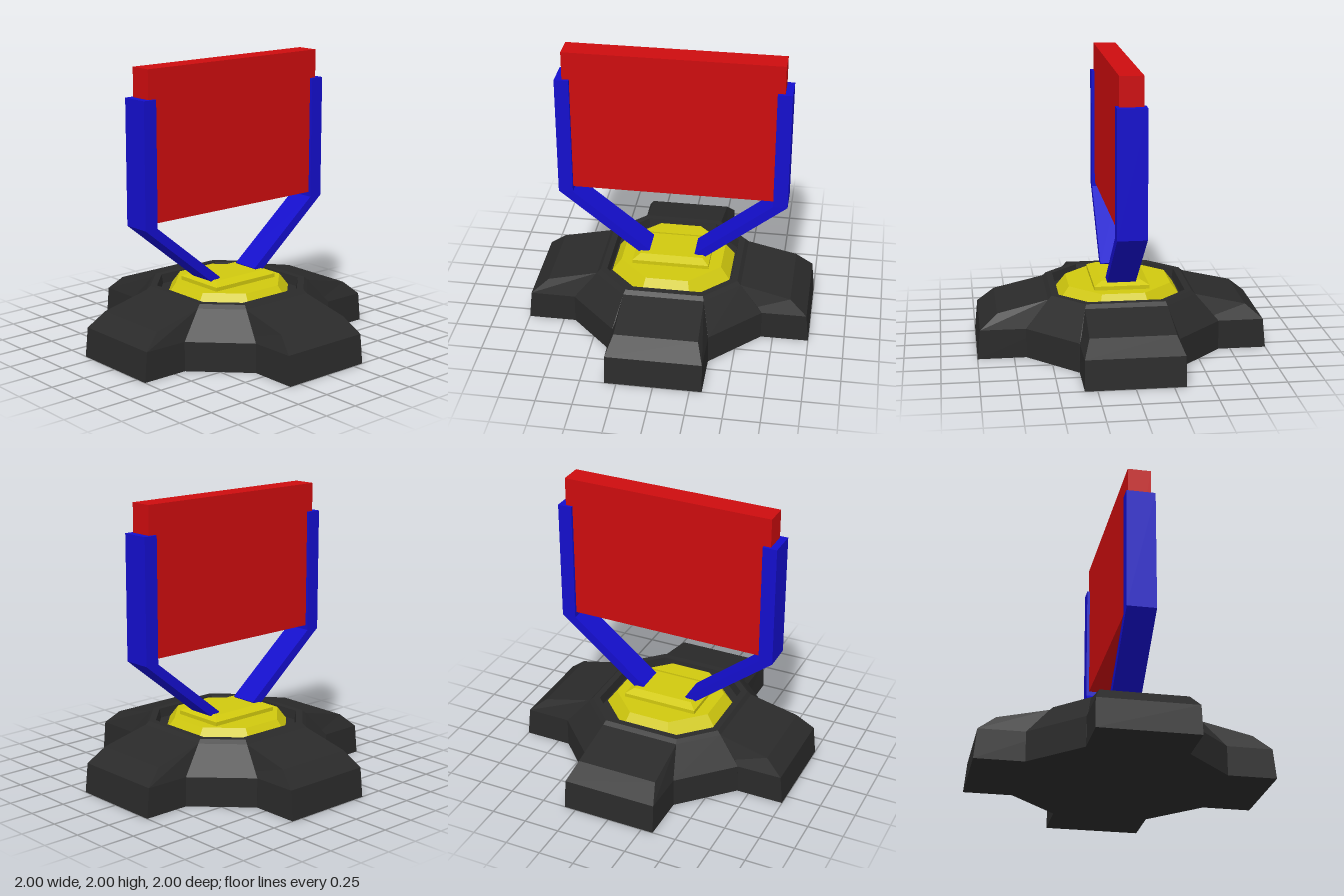
import * as THREE from 'three';

const paint = (color) => new THREE.MeshStandardMaterial({ color, flatShading: true });

// Closed solid through rings of [x, y, z] points, listed bottom to top, anticlockwise from above
function loft(rings) {
  const n = rings[0].length;
  const pos = [];
  const tri = (a, b, c) => pos.push(...a, ...b, ...c);
  for (let r = 0; r < rings.length - 1; r++) {
    for (let i = 0; i < n; i++) {
      const j = (i + 1) % n;
      tri(rings[r][i], rings[r][j], rings[r + 1][j]);
      tri(rings[r][i], rings[r + 1][j], rings[r + 1][i]);
    }
  }
  const top = rings[rings.length - 1];
  for (let i = 1; i < n - 1; i++) {
    tri(rings[0][0], rings[0][i + 1], rings[0][i]);
    tri(top[0], top[i], top[i + 1]);
  }
  const geo = new THREE.BufferGeometry();
  geo.setAttribute('position', new THREE.Float32BufferAttribute(pos, 3));
  geo.computeVertexNormals();
  return geo;
}

// Octagon reaching a along each axis, with axis-facing sides of half-length b
const octagon = (y, a, b) =>
  [[a, -b], [b, -a], [-b, -a], [-a, -b], [-a, b], [-b, a], [b, a], [a, b]].map(([x, z]) => [x, y, z]);

// Rectangle with its own height and half-width at the back (z0) and front (z1)
const quad = (z0, y0, w0, z1, y1, w1) =>
  [[w0, y0, z0], [-w0, y0, z0], [-w1, y1, z1], [w1, y1, z1]];

export function createModel() {
  const model = new THREE.Group();
  const black = paint(0x2a2a2a);
  const yellow = paint(0xd0c80e);
  const blue = paint(0x140ecc);
  const red = paint(0xcc0c0e);

  const add = (name, geo, mat, parent = model) => {
    const mesh = new THREE.Mesh(geo, mat);
    mesh.name = name;
    parent.add(mesh);
    return mesh;
  };

  // Octagonal base with a raised rim and a sunken floor
  const base = new THREE.Group();
  base.name = 'base';
  model.add(base);
  add('baseBody', loft([
    octagon(0, 0.667, 0.333), octagon(0.205, 0.667, 0.333), octagon(0.39, 0.51, 0.28),
    octagon(0.415, 0.485, 0.27), octagon(0.415, 0.44, 0.25), octagon(0.35, 0.43, 0.245),
  ]), black, base);

  // Four feet with sloping tops
  const footGeo = loft([
    quad(0.51, 0, 0.333, 1, 0, 0.333),
    quad(0.51, 0.205, 0.333, 0.98, 0.205, 0.33),
    quad(0.51, 0.39, 0.28, 0.86, 0.308, 0.287),
  ]);
  for (let i = 0; i < 4; i++) add('foot', footGeo, black, base).rotation.y = i * Math.PI / 2;

  // Turntable seated in the recess, with a bevelled mounting block
  add('turntable', loft([octagon(0.35, 0.42, 0.17), octagon(0.438, 0.355, 0.148)]), yellow);
  add('mountBlock', loft([
    quad(-0.19, 0.43, 0.27, 0.19, 0.43, 0.27),
    quad(-0.19, 0.465, 0.27, 0.19, 0.465, 0.27),
    quad(-0.135, 0.492, 0.22, 0.135, 0.492, 0.22),
  ]), yellow);

  // Bent support arms: slanted strut and upright in one profile
  for (const side of [1, -1]) {
    const profile = [[0.21, 0.46], [0.8, 0.937], [0.8, 1.8], [0.7, 1.8], [0.7, 0.937], [0.16, 0.5]];
    const shape = new THREE.Shape(profile.map(([x, y]) => new THREE.Vector2(side * x, y)));
    const geo = new THREE.ExtrudeGeometry(shape, { depth: 0.2, bevelEnabled: false });
    add(side > 0 ? 'leftArm' : 'rightArm', geo.translate(0, 0, -0.1), blue);
  }

  // Panel held between the uprights
  add('panel', new THREE.BoxGeometry(1.5, 1.03, 0.16).translate(0, 1.485, 0), red);

  return model;
}
